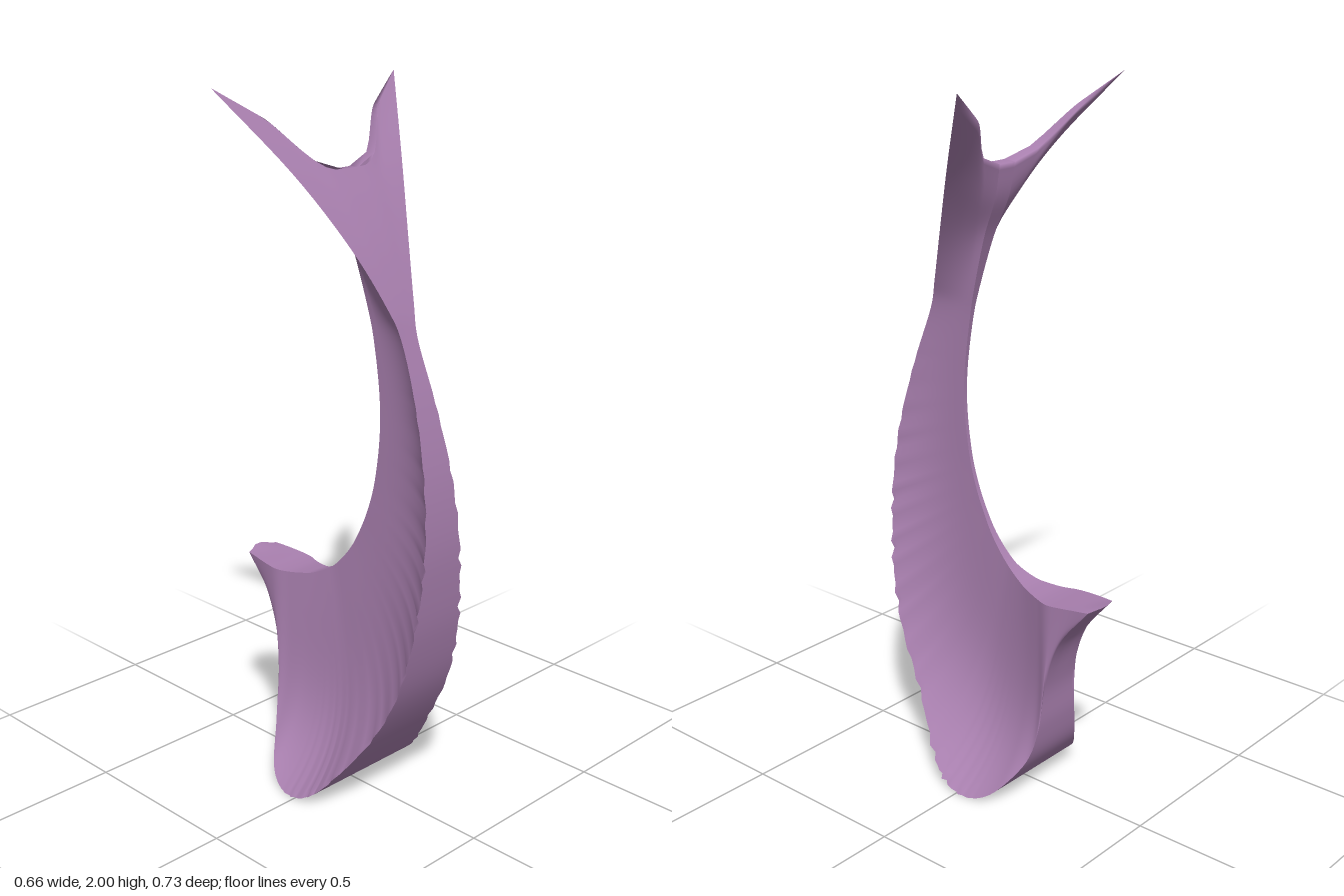
import * as THREE from 'three';

// Rim stations from the fork down the front, under the foot and up to the horn: half width, y, z
const OUTER = [
  [.33, 1.785, .022], [.2, 1.7, .075], [.108, 1.585, .139], [.05, 1.45, .203], [.03, 1.36, .238],
  [.038, 1.2, .295], [.053, 1.02, .341], [.066, .85, .362], [.078, .7, .36], [.093, .55, .343],
  [.106, .387, .3], [.125, .228, .217], [.182, .08, .11], [.204, .022, .045], [.207, .002, -.02],
  [.194, .012, -.08], [.165, .05, -.13], [.108, .13, -.18], [.08, .23, -.2], [.062, .36, -.207],
  [.055, .5, -.25], [.054, .628, -.363],
];
// Matching stations along the inner edge of the web: half width, y, z
const INNER = [
  [.03, 1.782, -.014], [.028, 1.69, .004], [.02, 1.58, .05], [.011, 1.43, .095], [.007, 1.34, .115],
  [.006, 1.2, .135], [.006, 1.08, .137], [.006, .95, .12], [.007, .86, .095], [.008, .79, .065],
  [.01, .735, .035], [.013, .69, 0], [.016, .66, -.03], [.021, .643, -.055], [.027, .63, -.08],
  [.034, .62, -.105], [.042, .615, -.13], [.055, .61, -.17], [.068, .61, -.21], [.068, .613, -.25],
  [.06, .618, -.31], [.054, .628, -.363],
];
// How far the sides of a section shift from its middle: fork arms rise and sweep back, horn tip is rounded
const LIFT = OUTER.map(() => [0, 0, 0]);
LIFT[0] = [0, .215, -.162];
LIFT[1] = [0, .09, -.06];
LIFT[2] = [0, .02, -.012];
LIFT[21] = [0, -.008, .018];

const curve = rows => new THREE.CatmullRomCurve3(rows.map(r => new THREE.Vector3(...r)), false, 'catmullrom', .5);
const [outer, inner, lift] = [OUTER, INNER, LIFT].map(curve);
const ROWS = 126;
const { smoothstep } = THREE.MathUtils;

// Small ripples along the rim, faded out at the fork and horn
function ripple(a) {
  const fade = smoothstep(a, .2, .35) * (1 - smoothstep(a, .62, .72));
  return fade * (.004 * Math.sin(a * 260) + .004 * Math.sin(a * 413 + 1));
}

const sections = Array.from({ length: ROWS + 1 }, (_, i) => {
  const a = i / ROWS;
  const s = { o: outer.getPoint(a), n: inner.getPoint(a), l: lift.getPoint(a) };
  s.w = s.o.x + ripple(a);
  // solid fork, hollowed body, flat flanges at the foot
  s.hollow = .7 + 2.3 * smoothstep(a, .05, .25) + 1.8 * smoothstep(a, .4, .65);
  return s;
});
// A section with no depth closes the top of the fork
const top = sections[0];
sections.unshift({ ...top, n: new THREE.Vector3(top.n.x, top.o.y, top.o.z) });

// Point on a section: x across, t from the rim (0) to the inner edge (1)
function place(s, x, t) {
  const u = Math.abs(x) / s.w;
  const f = u * smoothstep(u, .1, .65);
  return [x, s.o.y + (s.n.y - s.o.y) * t + s.l.y * f, s.o.z + (s.n.z - s.o.z) * t + s.l.z * f];
}

// Flank from the wide rim to the thin web
function flank(s, v, side) {
  const t = 1 - Math.pow(1 - v, .6);
  return place(s, side * (s.n.x + (s.w - s.n.x) * Math.pow(1 - t, s.hollow)), t);
}

function strip(name, cols, fn, material) {
  const pos = [], index = [];
  sections.forEach((s, i) => {
    for (let j = 0; j <= cols; j++) {
      pos.push(...fn(s, j / cols));
      if (i < sections.length - 1 && j < cols) {
        const p = i * (cols + 1) + j, q = p + cols + 1;
        index.push(p, q, p + 1, q, q + 1, p + 1);
      }
    }
  });
  const g = new THREE.BufferGeometry();
  g.setAttribute('position', new THREE.Float32BufferAttribute(pos, 3));
  g.setIndex(index);
  g.computeVertexNormals();
  const mesh = new THREE.Mesh(g, material);
  mesh.name = name;
  return mesh;
}

export function createModel() {
  const mauve = new THREE.MeshStandardMaterial({ color: 0xa87fae, side: THREE.DoubleSide });
  mauve.name = 'mauve';
  const group = new THREE.Group();
  group.name = 'forkedHook';
  group.add(
    strip('outerRim', 24, (s, v) => place(s, s.w * (2 * v - 1), 0), mauve),
    strip('leftFlank', 24, (s, v) => flank(s, v, 1), mauve),
    strip('innerEdge', 6, (s, v) => place(s, s.n.x * (1 - 2 * v), 1), mauve),
    strip('rightFlank', 24, (s, v) => flank(s, 1 - v, -1), mauve),
  );
  return group;
}
